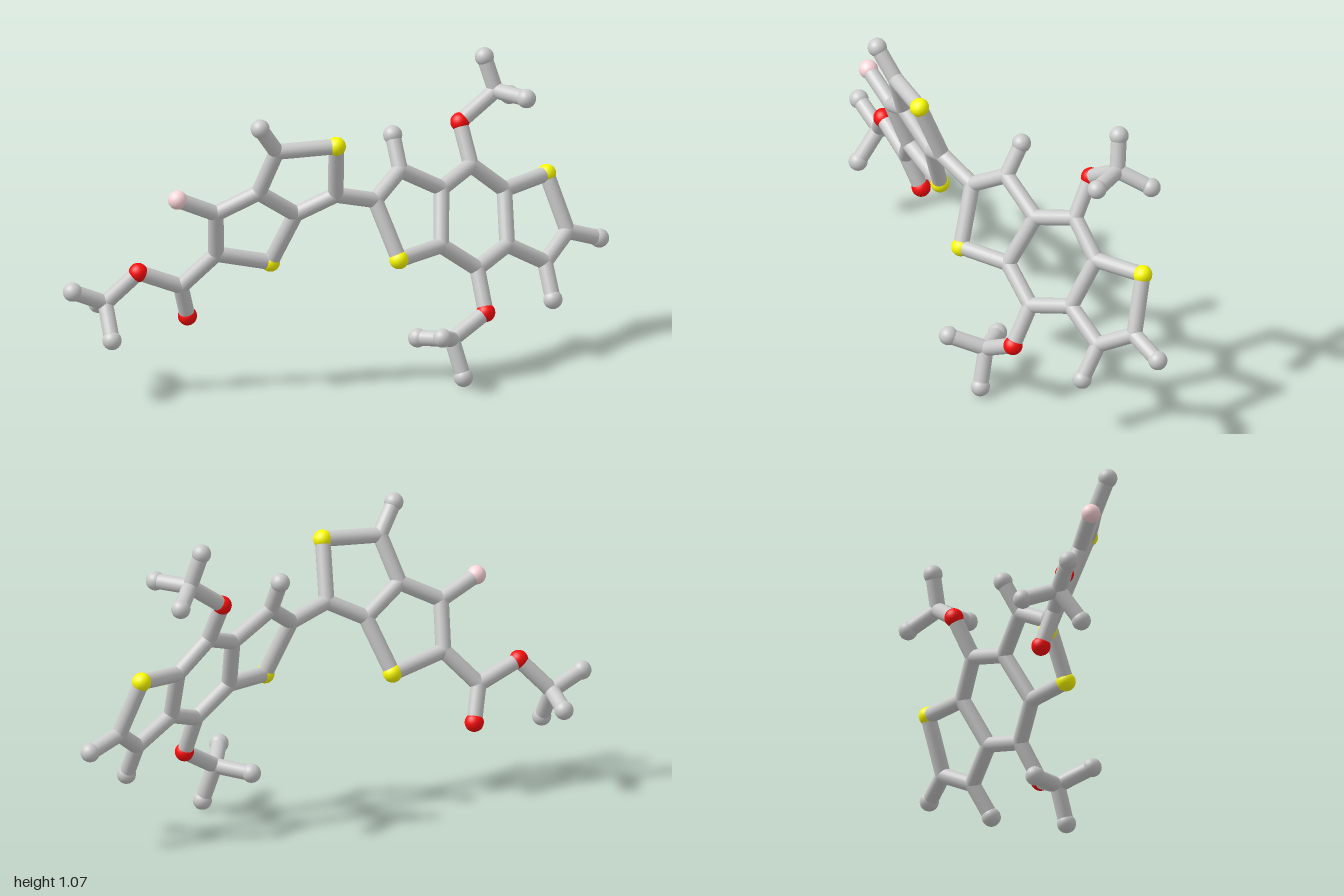
import * as THREE from 'three';

const BOND = 0.027, BALL = 0.033;
const grey = new THREE.MeshStandardMaterial({ color: 0xcccccc });
const yellow = new THREE.MeshStandardMaterial({ color: 0xffff00 });
const red = new THREE.MeshStandardMaterial({ color: 0xff0d0d });
const pink = new THREE.MeshStandardMaterial({ color: 0xffd8dc });

// Atom kinds by first letter: C = bare joint, H = end ball, S / O / F = coloured balls
const kinds = {
  C: { name: 'carbonJoint', radius: BOND, material: grey },
  H: { name: 'endBall', radius: BALL, material: grey },
  S: { name: 'sulfurBall', radius: BALL, material: yellow },
  O: { name: 'oxygenBall', radius: BALL, material: red },
  F: { name: 'fluorineBall', radius: BALL, material: pink },
};

const atoms = {
  // left pair of fused five-sided rings
  S1: [-0.125, 0.91, 0.163], C2: [-0.33, 0.905, 0.122], C3: [-0.37, 0.745, 0.06],
  C4: [-0.095, 0.71, 0.09], C5: [-0.225, 0.645, 0.045], S6: [-0.285, 0.457, -0.032],
  C7: [-0.485, 0.51, -0.04], C8: [-0.51, 0.675, 0.015], H2: [-0.403, 1.005, 0.148],
  F8: [-0.652, 0.742, 0.013],
  // ester arm
  C20: [-0.59, 0.39, -0.1], O21: [-0.55, 0.268, -0.135], O22: [-0.745, 0.457, -0.11],
  C23: [-0.845, 0.345, -0.163], H24: [-0.967, 0.4, -0.163], H25: [-0.855, 0.235, -0.083],
  H26: [-0.82, 0.305, -0.282],
  // middle five-sided ring
  C9: [0.06, 0.665, 0.072], C10: [0.18, 0.74, 0.012], H10: [0.18, 0.848, -0.05],
  C11: [0.34, 0.65, 0.002], C12: [0.3, 0.475, 0.088], S8: [0.113, 0.469, 0.155],
  // six-sided ring
  C13: [0.48, 0.695, -0.067], C14: [0.605, 0.59, -0.067], C15: [0.578, 0.42, 0.018],
  C16: [0.435, 0.375, 0.088],
  // right five-sided ring
  S17: [0.792, 0.603, -0.133], C18: [0.84, 0.41, -0.065], C19: [0.725, 0.335, 0.005],
  H18: [0.965, 0.365, -0.077], H19: [0.725, 0.22, 0.072],
  // upper methoxy arm
  O30: [0.47, 0.83, -0.138], C31: [0.61, 0.92, -0.153], H32: [0.58, 1.037, -0.18],
  H33: [0.67, 0.92, -0.027], H34: [0.697, 0.87, -0.233],
  // lower methoxy arm
  O40: [0.435, 0.238, 0.16], C41: [0.3, 0.165, 0.18], H42: [0.325, 0.037, 0.22],
  H43: [0.22, 0.21, 0.28], H44: [0.218, 0.15, 0.075],
};

// Chains of connected atoms, grouped by part
const parts = {
  leftRings: ['S1 C2 C3 C5 C4 S1', 'C5 S6 C7 C8 C3', 'C2 H2', 'C8 F8'],
  esterArm: ['C7 C20 O21', 'C20 O22 C23 H24', 'C23 H25', 'C23 H26'],
  middleRing: ['C4 C9 C10 C11 C12 S8 C9', 'C10 H10'],
  sixSidedRing: ['C11 C13 C14 C15 C16 C12'],
  rightRing: ['C14 S17 C18 C19 C15', 'C18 H18', 'C19 H19'],
  upperMethoxyArm: ['C13 O30 C31 H32', 'C31 H33', 'C31 H34'],
  lowerMethoxyArm: ['C16 O40 C41 H42', 'C41 H43', 'C41 H44'],
};

const ballGeometry = new THREE.SphereGeometry(1, 24, 16);
const rodGeometry = new THREE.CylinderGeometry(BOND, BOND, 1, 20, 1, true);
const UP = new THREE.Vector3(0, 1, 0);
const position = (key) => new THREE.Vector3(...atoms[key]);

function makeBall(key) {
  const kind = kinds[key[0]];
  const ball = new THREE.Mesh(ballGeometry, kind.material);
  ball.name = kind.name;
  ball.position.copy(position(key));
  ball.scale.setScalar(kind.radius);
  return ball;
}

function makeBond(from, to) {
  const a = position(from), b = position(to);
  const rod = new THREE.Mesh(rodGeometry, grey);
  rod.name = 'bond';
  rod.position.copy(a).lerp(b, 0.5);
  rod.scale.y = a.distanceTo(b);
  rod.quaternion.setFromUnitVectors(UP, b.sub(a).normalize());
  return rod;
}

export function createModel() {
  const model = new THREE.Group();
  model.name = 'molecule';
  const placed = new Set();
  for (const [name, chains] of Object.entries(parts)) {
    const group = new THREE.Group();
    group.name = name;
    for (const chain of chains) {
      const keys = chain.split(' ');
      keys.forEach((key, i) => {
        if (!placed.has(key)) group.add(makeBall(key));
        placed.add(key);
        if (i > 0) group.add(makeBond(keys[i - 1], key));
      });
    }
    model.add(group);
  }
  return model;
}
